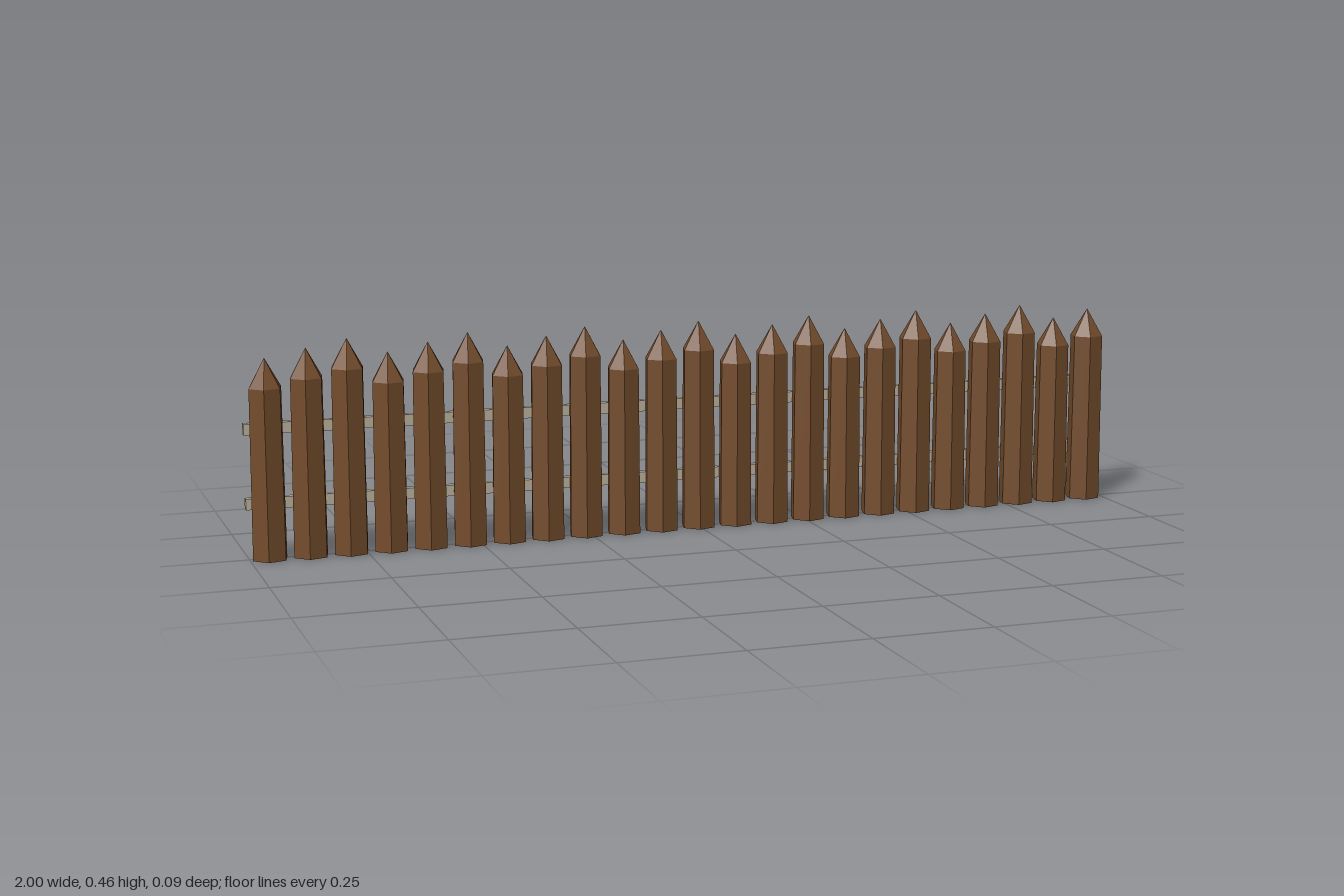
import * as THREE from 'three';

const STAKES = 23;
const SPACING = 0.087;
const STAKE_Z = 0.0035;
const TIP = 0.063;
const TURN = THREE.MathUtils.degToRad(47); // shared twist of the six-sided logs

export function createModel() {
  const fence = new THREE.Group();
  fence.name = 'palisadeFence';

  const wood = new THREE.MeshStandardMaterial({ color: 0x734c2c, flatShading: true });
  wood.name = 'brown wood';
  const railWood = new THREE.MeshStandardMaterial({ color: 0xb8ad9a, flatShading: true });
  railWood.name = 'pale rail wood';

  const add = (parent, name, geometry, material, x, y, z) => {
    const mesh = new THREE.Mesh(geometry, material);
    mesh.name = name;
    mesh.position.set(x, y, z);
    parent.add(mesh);
  };

  // Three log lengths repeat along the fence
  const bodyHeights = [0.367, 0.384, 0.4];
  const bodies = bodyHeights.map(
    (h) => new THREE.CylinderGeometry(0.0375, 0.0397, h, 6, 1, false, TURN)
  );
  const point = new THREE.ConeGeometry(0.0375, TIP, 6, 1, true, TURN);

  // Stakes: tapered log with a sharpened point
  for (let i = 0; i < STAKES; i++) {
    const h = bodyHeights[i % 3];
    const stake = new THREE.Group();
    stake.name = 'stake';
    stake.position.set((i - (STAKES - 1) / 2) * SPACING, 0, STAKE_Z);
    add(stake, 'stakeLog', bodies[i % 3], wood, 0, h / 2, 0);
    add(stake, 'stakePoint', point, wood, 0, h + TIP / 2, 0);
    fence.add(stake);
  }

  // Two rails along the back
  const rail = new THREE.BoxGeometry(2, 0.024, 0.016);
  add(fence, 'lowerRail', rail, railWood, 0, 0.113, -0.035);
  add(fence, 'upperRail', rail, railWood, 0, 0.274, -0.035);

  return fence;
}
